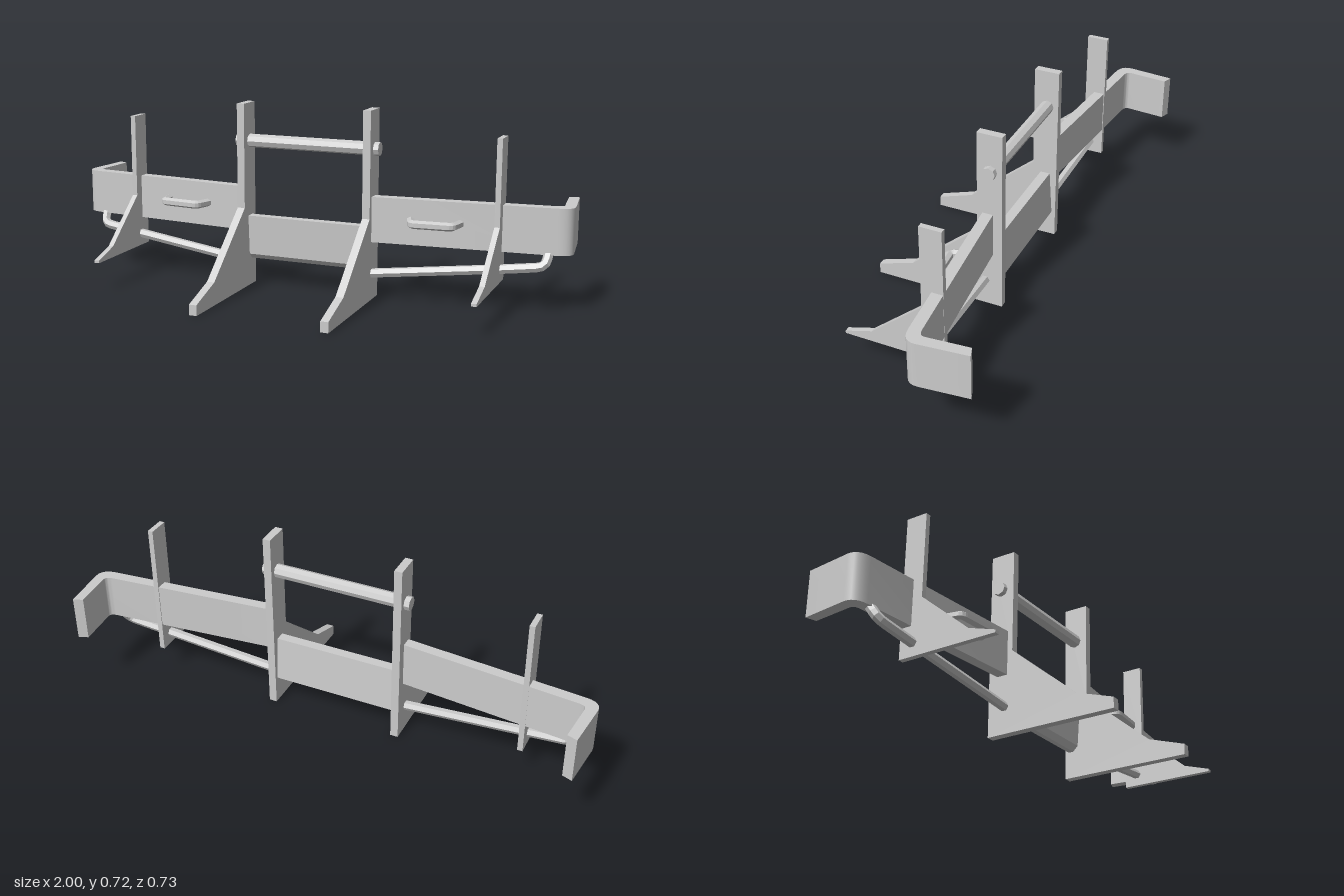
import * as THREE from 'three';
import { toCreasedNormals } from 'three/addons/utils/BufferGeometryUtils.js';

const smoothMat = new THREE.MeshStandardMaterial({ color: 0xcccccc });
const flatMat = new THREE.MeshStandardMaterial({ color: 0xcccccc, flatShading: true });

function add(group, name, geometry, material = smoothMat) {
  const mesh = new THREE.Mesh(geometry, material);
  mesh.name = name;
  group.add(mesh);
}

// Extrude a side profile of [z, y] points across x, centred on the given x.
function sidePlate(points, width, x) {
  const shape = new THREE.Shape(points.map(([z, y]) => new THREE.Vector2(z, y)));
  const geo = new THREE.ExtrudeGeometry(shape, { depth: width, bevelEnabled: false });
  return geo.rotateY(-Math.PI / 2).translate(x + width / 2, 0, 0);
}

// Six-sided rod through the points, with rounded corners.
function bentRod(points, radius, bend) {
  const pts = points.map((p) => new THREE.Vector3(...p));
  const path = new THREE.CurvePath();
  let start = pts[0];
  for (let i = 1; i < pts.length - 1; i++) {
    const p = pts[i];
    const before = p.clone().add(pts[i - 1].clone().sub(p).setLength(bend));
    const after = p.clone().add(pts[i + 1].clone().sub(p).setLength(bend));
    path.add(new THREE.LineCurve3(start, before));
    path.add(new THREE.QuadraticBezierCurve3(before, p, after));
    start = after;
  }
  path.add(new THREE.LineCurve3(start, pts[pts.length - 1]));
  return new THREE.TubeGeometry(path, 40, radius, 6, false);
}

// Swept-back side beam, drawn from above and extruded upwards.
function wing(s) {
  const shape = new THREE.Shape();
  shape.moveTo(s * 0.255, 0.067);
  shape.lineTo(s * 0.945, 0.132);
  shape.quadraticCurveTo(s * 1.003, 0.138, s * 0.999, 0.185);
  shape.lineTo(s * 0.98, 0.363);
  shape.lineTo(s * 0.943, 0.35);
  shape.lineTo(s * 0.957, 0.197);
  shape.quadraticCurveTo(s * 0.96, 0.178, s * 0.935, 0.174);
  shape.lineTo(s * 0.255, 0.108);
  const geo = new THREE.ExtrudeGeometry(shape, { depth: 0.172, bevelEnabled: false, curveSegments: 6 });
  return toCreasedNormals(geo.rotateX(-Math.PI / 2).translate(0, 0.225, 0), 0.6);
}

export function createModel() {
  const model = new THREE.Group();
  model.name = 'bumper';

  const innerProfile = [[0.365, 0], [0.365, 0.04], [0.22, 0.088], [-0.048, 0.316],
    [-0.048, 0.72], [-0.145, 0.72], [-0.145, 0]];
  const outerProfile = [[0.225, 0.112], [0.225, 0.122], [0.12, 0.155], [-0.075, 0.322],
    [-0.075, 0.643], [-0.157, 0.643], [-0.157, 0.112]];

  for (const s of [1, -1]) {
    const side = new THREE.Group();
    side.name = s > 0 ? 'leftSide' : 'rightSide';
    model.add(side);
    add(side, 'innerUpright', sidePlate(innerProfile, 0.03, s * 0.255));
    add(side, 'outerUpright', sidePlate(outerProfile, 0.02, s * 0.742));
    add(side, 'wingBeam', wing(s));
    // Grab handle on the front of the beam
    add(side, 'handle', bentRod([[s * 0.415, 0.317, -0.09], [s * 0.438, 0.317, -0.024],
      [s * 0.586, 0.317, -0.037], [s * 0.6, 0.317, -0.108]], 0.016, 0.014), flatMat);
    // Brace rod slung under the beam
    add(side, 'lowerRod', bentRod([[s * 0.255, 0.102, -0.077], [s * 0.755, 0.163, -0.105],
      [s * 0.912, 0.184, -0.115], [s * 0.917, 0.24, -0.152]], 0.018, 0.03), flatMat);
  }

  // Lower centre plate with a chamfered bottom edge
  add(model, 'centrePlate', sidePlate([[-0.08, 0.28], [-0.09, 0.125], [-0.11, 0.105],
    [-0.13, 0.105], [-0.118, 0.28]], 0.49, 0));

  // Upper cross bar through both inner uprights
  const bar = new THREE.CylinderGeometry(0.026, 0.026, 0.58, 8);
  add(model, 'crossBar', bar.rotateZ(Math.PI / 2).translate(0, 0.573, -0.1), flatMat);

  return model;
}
